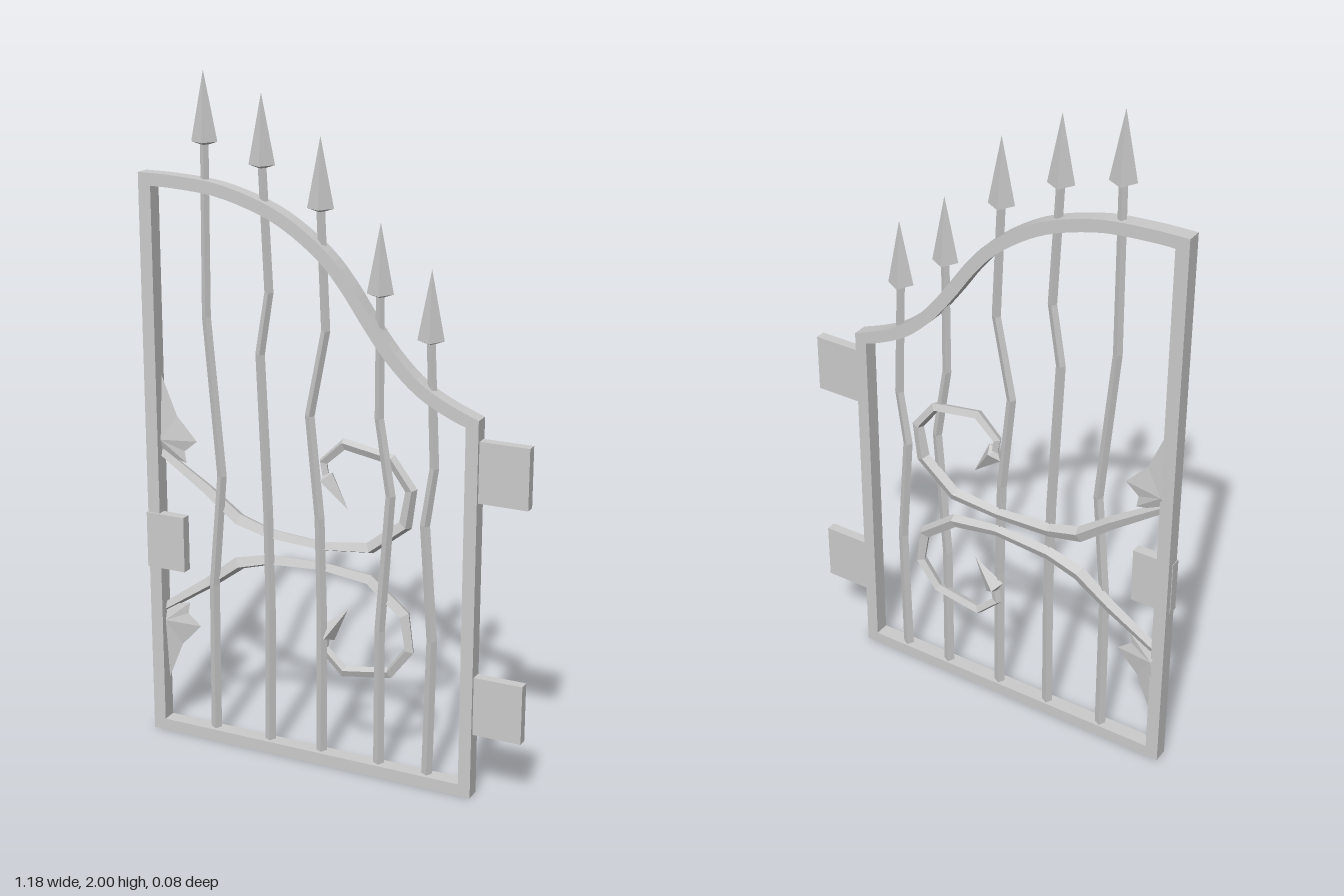
import * as THREE from 'three';

const metal = new THREE.MeshStandardMaterial({ color: 0xcccccc, flatShading: true });
const leafMetal = new THREE.MeshStandardMaterial({ color: 0xcccccc, flatShading: true, side: THREE.DoubleSide });
const MID = 0.64; // height about which the scrolls mirror
const TWIST = 0.28; // turn of the square sections
const flip = ([x, y, ...rest]) => [x, 2 * MID - y, ...rest];

function part(parent, name, geometry, material = metal) {
  const mesh = new THREE.Mesh(geometry, material);
  mesh.name = name;
  parent.add(mesh);
  return mesh;
}

function fromTriangles(tris) {
  const geo = new THREE.BufferGeometry();
  geo.setAttribute('position', new THREE.Float32BufferAttribute(tris.flat(2), 3));
  geo.computeVertexNormals();
  return geo;
}

// Square rod swept along [x, y, z, radius] points lying roughly in the xy plane
function rod(points, turn) {
  const dir = (a, b) => new THREE.Vector2(b[0] - a[0], b[1] - a[1]).normalize();
  const last = points.length - 1;
  const rings = points.map((p, i) => {
    const before = dir(points[Math.max(i - 1, 0)], points[Math.max(i, 1)]);
    const after = dir(points[Math.min(i, last - 1)], points[Math.min(i + 1, last)]);
    const t = before.clone().add(after).normalize();
    const mitre = 1 / Math.max(t.dot(after), 0.6);
    return [0, 1, 2, 3].map((k) => {
      const a = turn + k * Math.PI / 2;
      const n = p[3] * Math.cos(a) * mitre;
      return [p[0] + n * t.y, p[1] - n * t.x, p[2] + p[3] * Math.sin(a)];
    });
  });
  const tris = [];
  for (let i = 0; i < last; i++) {
    for (let k = 0; k < 4; k++) {
      const a = rings[i][k], b = rings[i][(k + 1) % 4];
      const c = rings[i + 1][(k + 1) % 4], d = rings[i + 1][k];
      tris.push([a, d, c], [a, c, b]);
    }
  }
  const s = rings[0], e = rings[last];
  tris.push([s[0], s[1], s[2]], [s[0], s[2], s[3]], [e[0], e[2], e[1]], [e[0], e[3], e[2]]);
  return fromTriangles(tris);
}

// Four-sided arrowhead pointing up, widest at y = 0
function arrowhead(height, radius) {
  const profile = [[0, -0.012], [radius, 0], [0, height]].map((p) => new THREE.Vector2(...p));
  return new THREE.LatheGeometry(profile, 4, TWIST).toNonIndexed();
}

// Frame outline with an S-curved top rail; outline counter-clockwise, hole clockwise
function frameGeometry() {
  const curve = new THREE.SplineCurve([
    [-0.592, 1.71], [-0.48, 1.708], [-0.34, 1.695], [-0.2, 1.655], [-0.1, 1.605], [0, 1.53],
    [0.07, 1.45], [0.13, 1.365], [0.2, 1.275], [0.28, 1.2], [0.36, 1.155], [0.447, 1.12],
  ].map((p) => new THREE.Vector2(...p)));
  const top = [], under = [];
  for (let i = 0; i <= 40; i++) {
    const p = curve.getPoint(i / 40), t = curve.getTangent(i / 40);
    top.push(p);
    const q = new THREE.Vector2(p.x + t.y * 0.036, p.y - t.x * 0.036);
    if (q.x > -0.547 && q.x < 0.405) under.push(q);
  }
  const v = (x, y) => new THREE.Vector2(x, y);
  const shape = new THREE.Shape([v(-0.592, 0), v(0.447, 0), ...top.reverse()]);
  shape.holes.push(new THREE.Path([
    v(0.41, 0.036), v(-0.553, 0.036), v(-0.553, 1.673), ...under, v(0.41, 1.097),
  ]));
  return new THREE.ExtrudeGeometry(shape, { depth: 0.045, bevelEnabled: false }).translate(0, 0, -0.016);
}

// Thin ridged leaf: a fan on both sides of a jagged outline
function leafGeometry(mirrored) {
  let outline = [[-0.575, 1.17], [-0.505, 1.0], [-0.44, 0.93], [-0.482, 0.895], [-0.476, 0.86], [-0.575, 0.88]];
  let ridge = [-0.555, 0.925];
  if (mirrored) {
    outline = outline.map(flip).reverse();
    ridge = flip(ridge);
  }
  const tris = [];
  outline.forEach((p, i) => {
    const a = [...p, -0.004], b = [...outline[(i + 1) % outline.length], -0.004];
    tris.push([[...ridge, 0.012], b, a], [[...ridge, -0.02], a, b]);
  });
  return fromTriangles(tris);
}

export function createModel() {
  const gate = new THREE.Group();
  gate.name = 'gate';
  part(gate, 'frame', frameGeometry());

  // Hand-bent bars: path, then tip of the spear
  const spearLength = 0.195;
  const bars = [
    { path: [[-0.388, 0.02], [-0.385, 0.5], [-0.354, 0.84], [-0.395, 1.31], [-0.39, 1.82]], tip: 2.0 },
    { path: [[-0.204, 0.02], [-0.199, 0.45], [-0.204, 0.76], [-0.224, 1.22], [-0.194, 1.4], [-0.212, 1.77]], tip: 1.948 },
    { path: [[-0.034, 0.02], [-0.032, 0.45], [-0.039, 0.76], [-0.069, 1.06], [-0.019, 1.31], [-0.034, 1.66]], tip: 1.843 },
    { path: [[0.151, 0.02], [0.151, 0.45], [0.181, 0.86], [0.145, 1.08], [0.145, 1.44]], tip: 1.625 },
    { path: [[0.303, 0.02], [0.312, 0.45], [0.286, 0.79], [0.311, 0.96], [0.295, 1.33]], tip: 1.512 },
  ];
  bars.forEach(({ path, tip }, i) => {
    const bar = new THREE.Group();
    bar.name = `bar${i + 1}`;
    const n = path.length - 1;
    part(bar, 'shaft', rod(path.map(([x, y], k) => [x, y, 0.004, 0.016 - 0.004 * k / n]), Math.PI / 2 - TWIST));
    const spear = part(bar, 'spearhead', arrowhead(spearLength, 0.037));
    spear.position.set(path[n][0], tip - spearLength, 0.004);
    gate.add(bar);
  });

  // Pair of mirrored scrolls, each with a leaf at the frame and an arrow tip
  const scroll = [
    [-0.565, 0.89, -0.003, 0.014], [-0.41, 0.785, -0.012, 0.019], [-0.31, 0.708, -0.016, 0.022],
    [-0.21, 0.681, -0.014, 0.019], [-0.035, 0.671, -0.012, 0.016], [0.11, 0.688, -0.017, 0.019],
    [0.22, 0.775, -0.013, 0.019], [0.237, 0.88, -0.011, 0.016], [0.175, 0.962, -0.012, 0.015],
    [0.03, 0.986, -0.013, 0.015], [-0.035, 0.925, -0.014, 0.013], [-0.027, 0.88, -0.014, 0.012],
  ];
  for (const mirrored of [false, true]) {
    const group = new THREE.Group();
    group.name = mirrored ? 'lowerScroll' : 'upperScroll';
    const path = mirrored ? scroll.map(flip) : scroll;
    part(group, 'stem', rod(path, Math.PI / 2 - 0.4));
    part(group, 'leaf', leafGeometry(mirrored), leafMetal);
    const tip = part(group, 'scrollTip', arrowhead(0.11, 0.03));
    tip.position.set(...path[path.length - 1].slice(0, 3));
    tip.rotation.z = mirrored ? -0.67 : Math.PI + 0.67;
    gate.add(group);
  }

  // Hinge plates on one upright, latch plate on the other
  for (const [name, y] of [['upperHinge', 0.972], ['lowerHinge', 0.283]]) {
    part(gate, name, new THREE.BoxGeometry(0.16, 0.175, 0.03)).position.set(0.511, y, 0.005);
  }
  part(gate, 'latchPlate', new THREE.BoxGeometry(0.125, 0.17, 0.031)).position.set(-0.5315, 0.617, 0.02);
  return gate;
}
